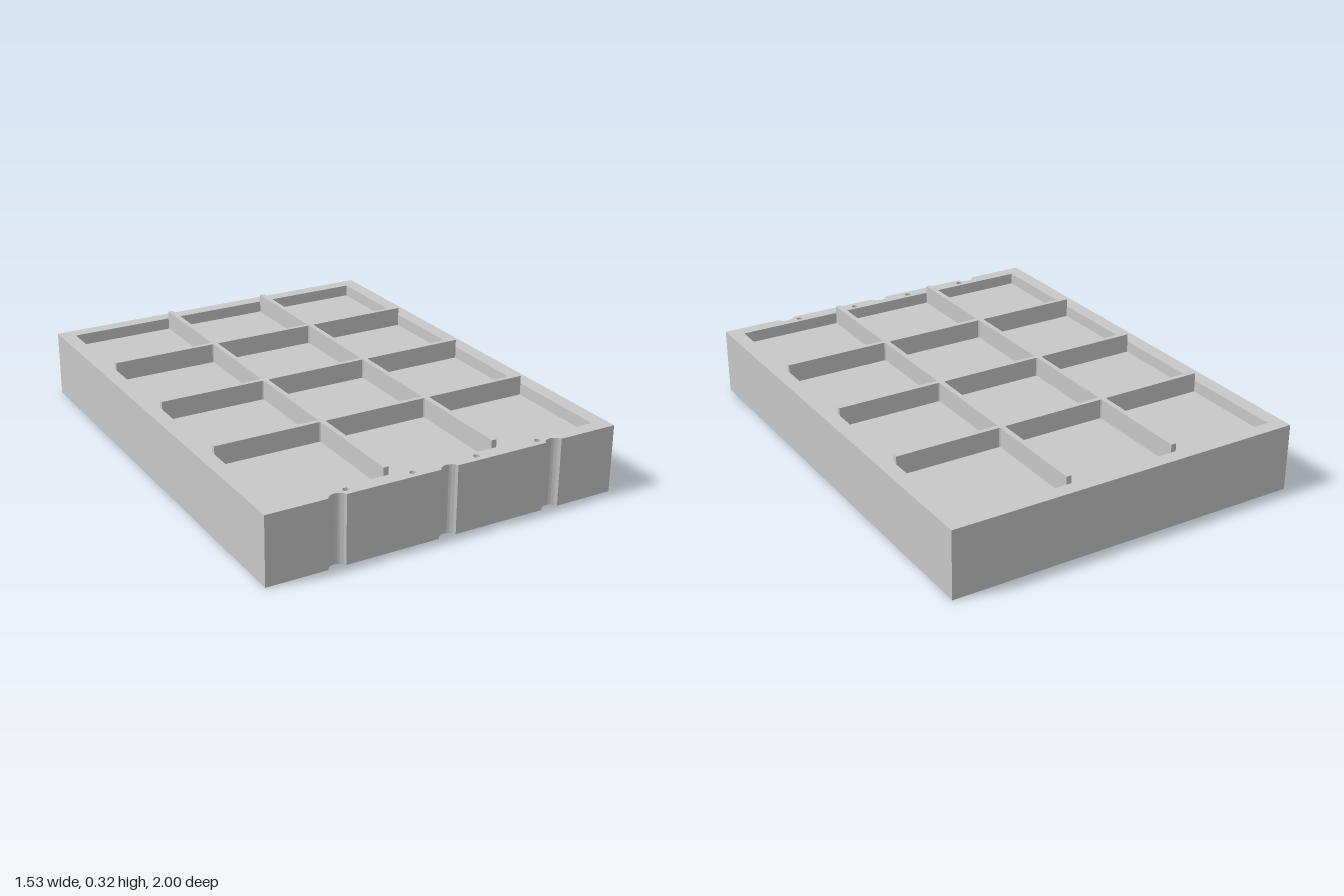
import * as THREE from 'three';
import { toCreasedNormals } from 'three/addons/utils/BufferGeometryUtils.js';

const W = 0.763, L = 1;                       // half width and half length
const BASE = 0.03, FLOOR = 0.235, RIM = 0.285, TOP = 0.318;
const INNER_X = 0.70, INNER_Z = 0.94;         // half size of the tray recess
const COLUMNS = [-0.472, 0, 0.472];           // notch and slot positions

// Plan shapes use y = -z, so the front edge is at y = -1.
function outline() {
  const s = new THREE.Shape();
  const r = 0.04, drop = 0.015, a = Math.asin(drop / r);
  s.moveTo(-W, L);
  s.lineTo(-W, -L);
  for (const x of COLUMNS) s.absarc(x, -L - drop, r, Math.PI - a, a, true);
  s.lineTo(W, -L);
  s.lineTo(W, L);
  s.closePath();
  for (const x of [-0.42, -0.14, 0.14, 0.42]) {
    s.holes.push(new THREE.Path().absarc(x, -0.967, 0.013, 0, Math.PI * 2, true));
  }
  return s;
}

const polygon = (points) => new THREE.Path(points.map(([x, z]) => new THREE.Vector2(x, -z)));

// Long groove with short side branches towards -x
function slot(x) {
  const h = 0.024, reach = 0.085, half = 0.011;
  const points = [[x + h, -0.71], [x + h, 0.965], [x - h, 0.965]];
  for (const z of [0.87, 0.78, 0.69, 0.62, 0.47, 0.39, 0.16, -0.17]) {
    points.push([x - h, z + half], [x - reach, z + half], [x - reach, z - half], [x - h, z - half]);
  }
  points.push([x - h, -0.71]);
  return polygon(points);
}

export function createModel() {
  const model = new THREE.Group();
  model.name = 'dividedTray';
  const grey = new THREE.MeshStandardMaterial({ color: 0xc8c8c8 });
  grey.name = 'grey';

  const add = (name, geometry, parent = model) => {
    const mesh = new THREE.Mesh(geometry, grey);
    mesh.name = name;
    parent.add(mesh);
    return mesh;
  };
  const layer = (name, shape, y0, y1) => {
    const g = new THREE.ExtrudeGeometry(shape, { depth: y1 - y0, bevelEnabled: false, curveSegments: 24 });
    g.rotateX(-Math.PI / 2).translate(0, y0, 0);
    add(name, toCreasedNormals(g, 0.6));
  };

  // Underside with grooves
  const under = outline();
  for (const x of COLUMNS) under.holes.push(slot(x));
  layer('groovedBase', under, 0, BASE);

  // Solid block
  layer('block', outline(), BASE, FLOOR);

  // Raised rim around the recess
  const rim = outline();
  rim.holes.push(polygon([[-INNER_X, -INNER_Z], [INNER_X, -INNER_Z], [INNER_X, INNER_Z], [-INNER_X, INNER_Z]]));
  layer('rim', rim, FLOOR, RIM);

  // Divider grid standing above the rim
  const dividers = new THREE.Group();
  dividers.name = 'dividers';
  model.add(dividers);
  const t = 0.022, h = TOP - FLOOR, y = FLOOR + h / 2;
  const ribX = [-0.237, 0.237], ribZ = [-0.475, -0.004, 0.47];
  for (const x of ribX) {
    add('longDivider', new THREE.BoxGeometry(t, h, 2 * INNER_Z), dividers).position.set(x, y, 0);
  }
  for (const z of ribZ) {
    add('crossDivider', new THREE.BoxGeometry(2 * INNER_X, h, 0.02), dividers).position.set(0, y, z);
    // Chamfered corners where dividers meet
    for (const x of ribX) {
      const corner = add('dividerJoint', new THREE.BoxGeometry(0.036, h, 0.036), dividers);
      corner.position.set(x, y, z);
      corner.rotation.y = Math.PI / 4;
    }
  }
  return model;
}
